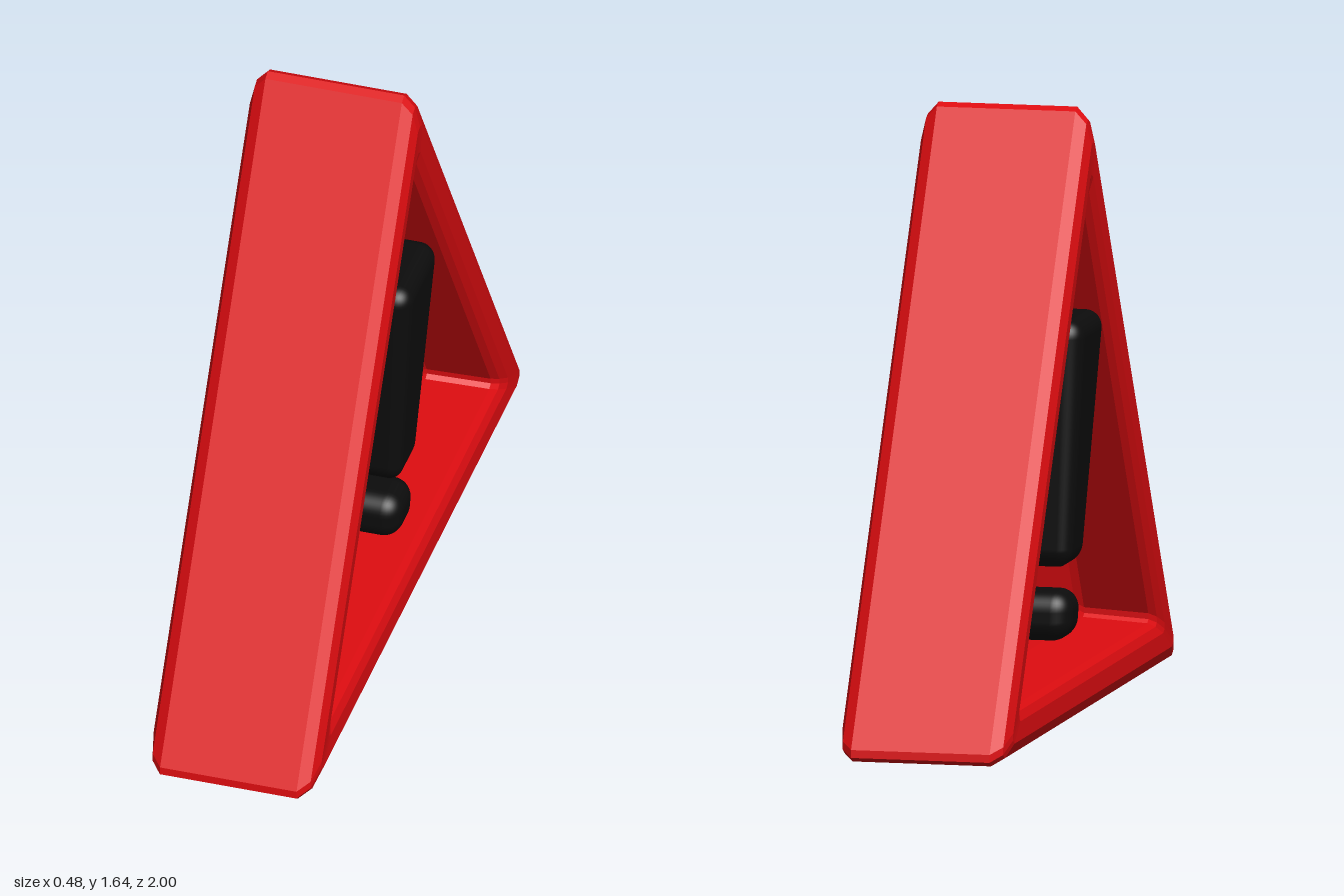
import * as THREE from 'three';
import { RoundedBoxGeometry } from 'three/addons/geometries/RoundedBoxGeometry.js';

// Blunt-cornered triangle outline as [z, y], counter-clockwise seen from +x
const OUTLINE = [
  [0.998, 0.033], [1, 0.012], [0.982, 0],
  [-0.982, 0], [-1, 0.012], [-0.998, 0.033],
  [-0.022, 1.626], [0, 1.636], [0.022, 1.626],
];
const INRADIUS = 0.57;

// Half profile from panel centre out to the outer wall: [inset, x]
const PROFILE = [
  [INRADIUS, 0.012], [0.165, 0.012], [0.147, 0.03], [0.132, 0.2],
  [0.12, 0.218], [0.098, 0.23], [0.05, 0.234], [0.018, 0.22], [0, 0.19],
];

// Sweeps the profile round the triangle, giving both recessed faces at once
function triangleGeometry() {
  const rings = [
    ...PROFILE.map(([d, x]) => [d, -x]),
    ...PROFILE.slice().reverse(),
  ];
  const positions = [];
  const corner = ([d, x], [z, y]) => {
    const s = 1 - d / INRADIUS;
    return [x, INRADIUS + (y - INRADIUS) * s, z * s];
  };
  for (let i = 0; i < rings.length - 1; i++) {
    for (let j = 0; j < OUTLINE.length; j++) {
      const p = OUTLINE[j], q = OUTLINE[(j + 1) % OUTLINE.length];
      const a0 = corner(rings[i], p), b0 = corner(rings[i], q);
      const a1 = corner(rings[i + 1], p), b1 = corner(rings[i + 1], q);
      if (rings[i][0] < INRADIUS) positions.push(...a0, ...b0, ...b1);
      else positions.push(...a0, ...b1, ...a1);
      if (rings[i][0] < INRADIUS && rings[i + 1][0] < INRADIUS) {
        positions.push(...a0, ...b1, ...a1);
      }
    }
  }
  const geo = new THREE.BufferGeometry();
  geo.setAttribute('position', new THREE.Float32BufferAttribute(positions, 3));
  geo.computeVertexNormals();
  return geo;
}

// Rounded block whose width (z) and thickness (x) shrink towards its foot
function taperedBlock(w, h, d, radius, footX, footZ) {
  const geo = new RoundedBoxGeometry(w, h, d, 5, radius);
  const pos = geo.attributes.position;
  for (let i = 0; i < pos.count; i++) {
    const t = pos.getY(i) / h + 0.5;
    pos.setX(i, pos.getX(i) * THREE.MathUtils.lerp(footX, 1, t));
    pos.setZ(i, pos.getZ(i) * THREE.MathUtils.lerp(footZ, 1, t));
  }
  return geo;
}

export function createModel() {
  const group = new THREE.Group();
  group.name = 'warningSign';
  const red = new THREE.MeshStandardMaterial({ color: 0xdd0c10, flatShading: true });
  const black = new THREE.MeshStandardMaterial({ color: 0x0c0c0c });

  const add = (name, geo, mat, x, y) => {
    const mesh = new THREE.Mesh(geo, mat);
    mesh.name = name;
    mesh.position.set(x, y, 0);
    group.add(mesh);
  };

  // Frame with its recessed panel
  add('triangleFrame', triangleGeometry(), red, -0.006, 0);
  // Bar and dot pass through the panel and show on both faces
  add('markBar', taperedBlock(0.486, 0.675, 0.288, 0.05, 0.8, 0.52), black, 0, 0.738);
  add('markDot', taperedBlock(0.39, 0.135, 0.16, 0.055, 0.96, 0.96), black, 0, 0.265);
  return group;
}
